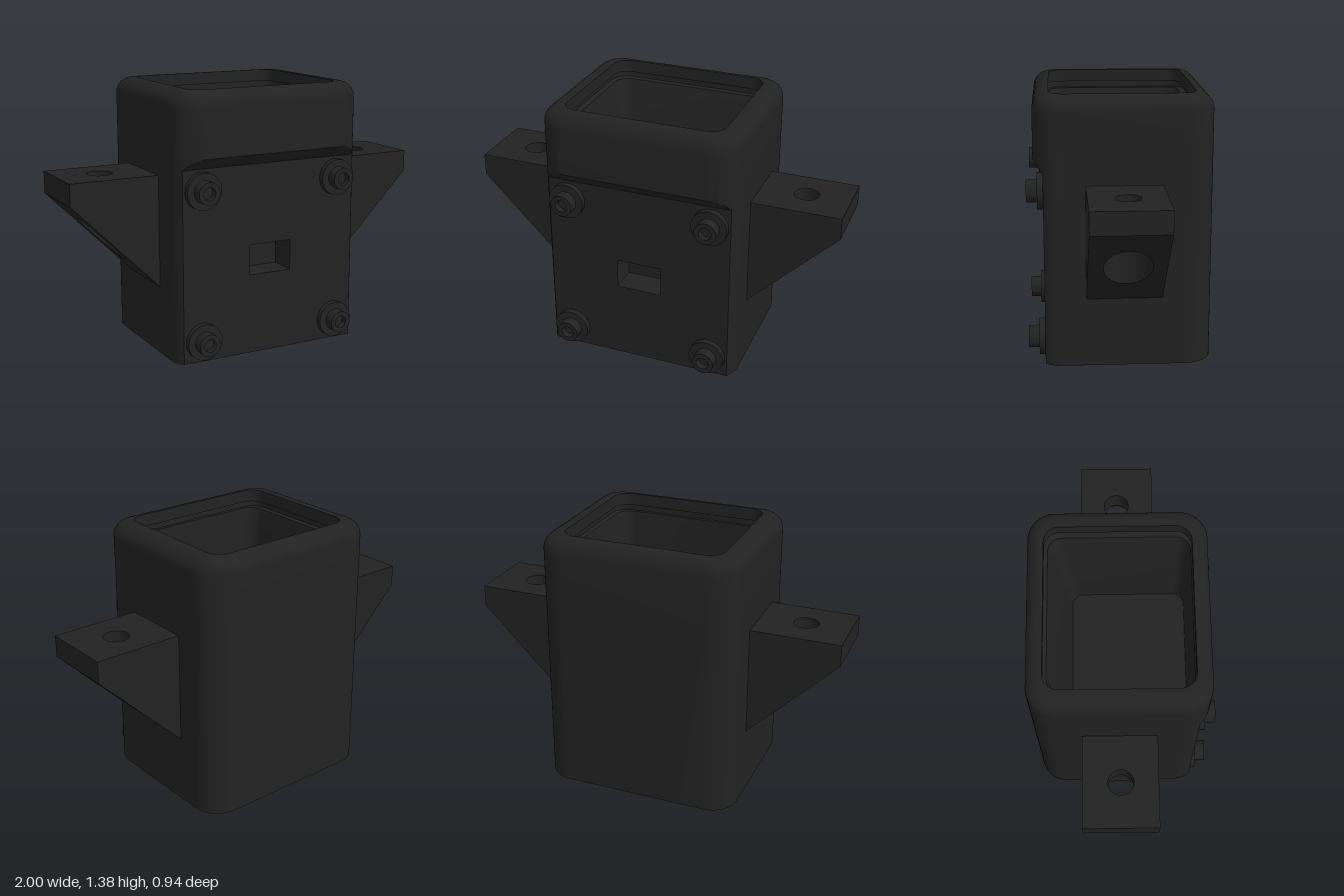
import * as THREE from 'three';
import { toCreasedNormals } from 'three/addons/utils/BufferGeometryUtils.js';

const SEG = 18; // segments per rounded corner

// One rounded-rectangle cross-section; z is cut off at zCut
function ring(y, hx, z0, z1, r, zCut = 9) {
  const pts = [];
  const corners = [[hx - r, z1 - r], [r - hx, z1 - r], [r - hx, z0 + r], [hx - r, z0 + r]];
  corners.forEach(([cx, cz], q) => {
    for (let i = 0; i <= SEG; i++) {
      const t = (q + i / SEG) * Math.PI / 2;
      pts.push([cx + r * Math.cos(t), y, Math.min(cz + r * Math.sin(t), zCut)]);
    }
  });
  return pts;
}

// Skin between successive rings, closed at both ends; skip(i, j) leaves openings
function loft(rings, skip) {
  const n = rings[0].length, pos = [];
  const centre = (r) => {
    const zs = r.map((p) => p[2]);
    const c = [0, r[0][1], (Math.min(...zs) + Math.max(...zs)) / 2];
    return r.map(() => c);
  };
  const all = [centre(rings[0]), ...rings, centre(rings[rings.length - 1])];
  for (let i = 0; i < all.length - 1; i++) {
    for (let j = 0; j < n; j++) {
      if (skip(i, j)) continue;
      const k = (j + 1) % n;
      const a = all[i][j], b = all[i][k], c = all[i + 1][j], d = all[i + 1][k];
      if (i < all.length - 2) pos.push(...a, ...c, ...b);
      if (i > 0) pos.push(...b, ...c, ...d);
      else pos.push(...a, ...c, ...d);
      if (i === 0) pos.splice(pos.length - 18, 9);
      if (i === all.length - 2) { pos.splice(pos.length - 9, 9); pos.push(...a, ...c, ...b); }
    }
  }
  const g = new THREE.BufferGeometry();
  g.setAttribute('position', new THREE.Float32BufferAttribute(pos, 3));
  return toCreasedNormals(g, 0.5);
}

function rect(x0, y0, x1, y1) {
  return [[x0, y0], [x1, y0], [x1, y1], [x0, y1]].map(([x, y]) => new THREE.Vector2(x, y));
}

function shapeWithHole(outer, hole) {
  const s = new THREE.Shape(outer);
  s.holes.push(hole);
  return s;
}

export function createModel() {
  const model = new THREE.Group();
  model.name = 'mountedHousing';
  const black = new THREE.MeshStandardMaterial({ color: 0x222222 });
  black.name = 'matteBlack';
  const add = (name, geometry, parent = model) => {
    const m = new THREE.Mesh(geometry, black);
    m.name = name;
    parent.add(m);
    return m;
  };

  // Housing: flat-cut front below, chamfer up to the full collar, rounded rim, hollow top
  const rings = [];
  const outer = (y, inset, cut) =>
    rings.push(ring(y, 0.53 - inset, -0.47 + inset, 0.435 - inset, 0.14 - inset, cut));
  outer(0, 0, 0.385);
  outer(1.0, 0, 0.385);
  for (let i = 1; i <= 6; i++) outer(1 + 0.055 * i / 6, 0, 0.385 + 0.05 * i / 6);
  for (let i = 0; i <= 8; i++) {
    const t = i / 8 * Math.PI / 2;
    outer(1.305 + 0.08 * Math.sin(t), 0.08 * (1 - Math.cos(t)));
  }
  // Inner lip, seal groove, ledge and tapered cavity
  const inner = [
    [1.385, 0.425, -0.385, 0.352, 0.08],
    [1.32, 0.425, -0.385, 0.352, 0.08],
    [1.32, 0.445, -0.405, 0.37, 0.09],
    [1.285, 0.445, -0.405, 0.37, 0.09],
    [1.285, 0.412, -0.37, 0.35, 0.075],
    [1.25, 0.405, -0.36, 0.35, 0.075],
    [0.62, 0.385, -0.27, 0.348, 0.06],
  ];
  inner.forEach((p) => rings.push(ring(...p)));
  add('housing', loft(rings, (i, j) => i === 1 && j === SEG));

  // Front panel with a recessed rectangular port
  const port = () => new THREE.Path(rect(-0.12, 0.42, 0.12, 0.58));
  add('frontPanel', new THREE.ShapeGeometry(shapeWithHole(rect(-0.39, 0, 0.39, 1), port())))
    .position.z = 0.385;
  add('portSleeve', new THREE.ExtrudeGeometry(
    shapeWithHole(rect(-0.14, 0.4, 0.14, 0.6), port()), { depth: 0.149, bevelEnabled: false }))
    .position.z = 0.235;
  add('portBack', new THREE.BoxGeometry(0.28, 0.2, 0.02)).position.set(0, 0.5, 0.225);

  // Screws: wide washer, round head with a socket
  const profile = [[0, 0.05], [0.033, 0.05], [0.033, 0.085], [0.058, 0.085],
    [0.058, 0.03], [0.095, 0.03], [0.095, 0]]
    .map(([r, y]) => new THREE.Vector2(r, y)).reverse();
  const screw = toCreasedNormals(new THREE.LatheGeometry(profile, 40), 0.5);
  screw.rotateX(Math.PI / 2);
  for (const x of [-0.39, 0.39]) {
    for (const y of [0.11, 0.89]) add('screw', screw).position.set(x, y, 0.385);
  }

  // Mounting brackets: drilled flange over a 45 degree gusset with a counterbore
  const slab = (radius, y, depth) => {
    const hole = new THREE.Path();
    hole.absarc(0.77, 0.02, radius, 0, Math.PI * 2, true);
    const g = new THREE.ExtrudeGeometry(shapeWithHole(rect(0.53, -0.175, 1, 0.21), hole),
      { depth, bevelEnabled: false, curveSegments: 40 });
    g.rotateX(-Math.PI / 2);
    return g.translate(0, y, 0);
  };
  const flange = toCreasedNormals(slab(0.065, 0.83, 0.115), 0.5);
  let gusset = slab(0.12, 0, 0.83);
  const p = gusset.attributes.position;
  for (let i = 0; i < p.count; i++) {
    if (p.getY(i) < 0.4) p.setY(i, p.getX(i) - 0.17); // slope the underside
  }
  gusset = toCreasedNormals(gusset, 0.5);
  for (const side of ['left', 'right']) {
    const bracket = new THREE.Group();
    bracket.name = side + 'Bracket';
    add('flange', flange, bracket);
    add('gusset', gusset, bracket);
    if (side === 'right') {
      // half turn about the hole line keeps faces outward
      bracket.rotation.y = Math.PI;
      bracket.position.z = -0.04;
      bracket.children.forEach((m) => { m.position.z = -0.005; });
    }
    model.add(bracket);
  }
  return model;
}
